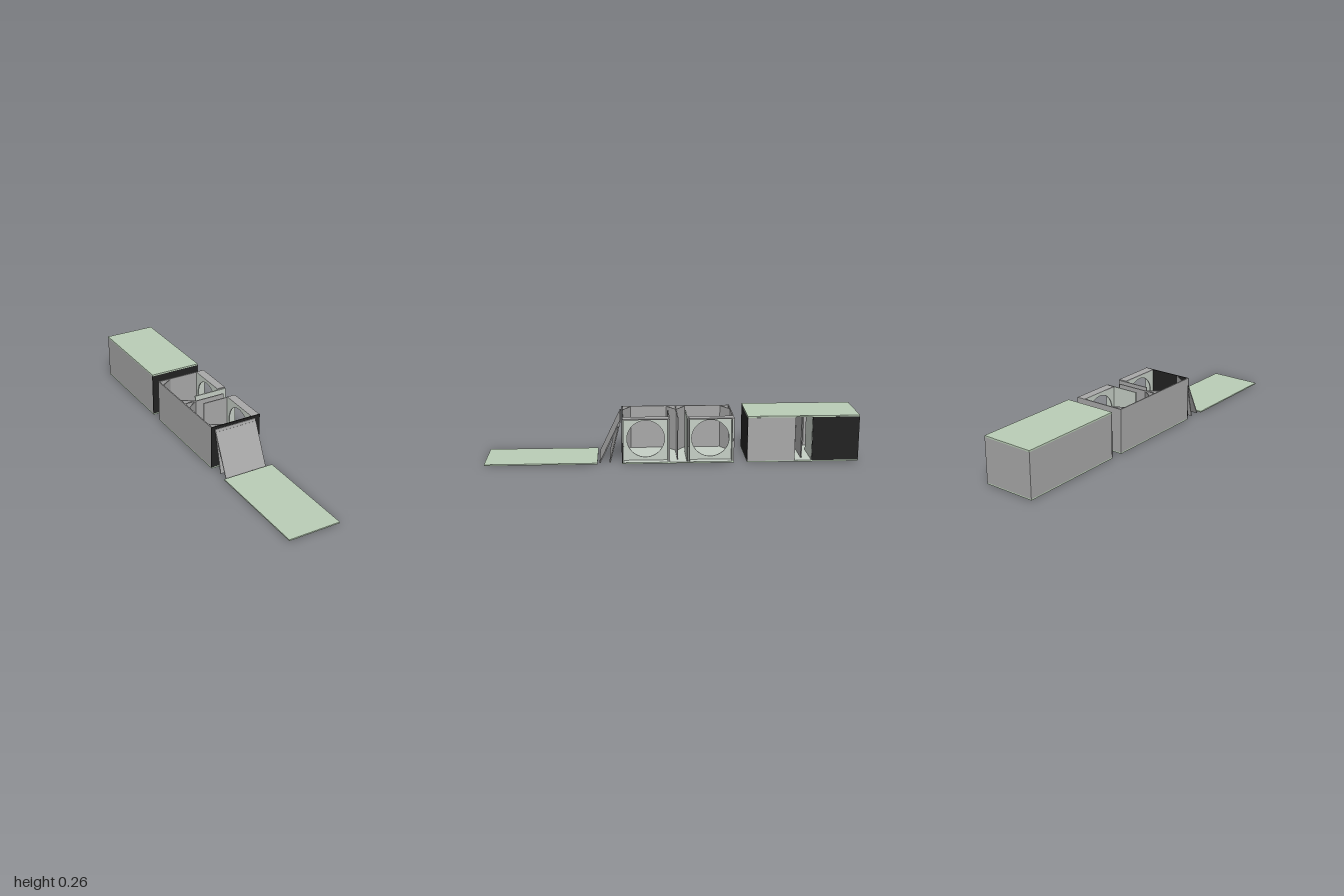
import * as THREE from 'three';

const material = (name, color) => {
  const m = new THREE.MeshStandardMaterial({ color });
  m.name = name;
  return m;
};

export function createModel() {
  const model = new THREE.Group();
  const green = material('sage green', 0xbacdb6);
  const pale = material('pale grey green', 0xc6cfc6);
  const grey = material('mid grey', 0xa8a8a8);
  const black = material('near black', 0x222222);
  const XL = -0.146, XR = 0.145, FLOOR = 0.01, TOP = 0.249, T = 0.006;

  // Box given by its limits
  const slab = (parent, name, mat, x0, x1, y0, y1, z0, z1) => {
    const mesh = new THREE.Mesh(new THREE.BoxGeometry(x1 - x0, y1 - y0, z1 - z0), mat);
    mesh.position.set((x0 + x1) / 2, (y0 + y1) / 2, (z0 + z1) / 2);
    mesh.name = name;
    parent.add(mesh);
    return mesh;
  };

  // Upright thin board between two plan points
  const board = (parent, name, mat, xa, za, xb, zb) => {
    const len = Math.hypot(xb - xa, zb - za);
    const mesh = new THREE.Mesh(new THREE.BoxGeometry(len, TOP - FLOOR - 0.003, 0.004), mat);
    mesh.position.set((xa + xb) / 2, (FLOOR + TOP - 0.003) / 2, (za + zb) / 2);
    mesh.rotation.y = -Math.atan2(zb - za, xb - xa);
    mesh.name = name;
    parent.add(mesh);
  };

  // Shell and inner boards shared by both cabinets
  const cabinet = (name, zFront) => {
    const g = new THREE.Group();
    g.name = name;
    const zBack = zFront - 0.6, mid = (zFront + zBack) / 2;
    const base = slab(g, 'basePanel', green, XL, XR, 0.003, FLOOR, zBack, zFront);
    base.material = [green, green, pale, green, green, green];
    slab(g, 'sideWall', grey, XL, XL + T, FLOOR, TOP, zBack, zFront - T);
    slab(g, 'frontWall', black, XL, XR, FLOOR, TOP, zFront - T, zFront);
    slab(g, 'backWall', grey, XL + T, XR, FLOOR, TOP, zBack, zBack + T);
    slab(g, 'partition', grey, XL + T, 0.1, FLOOR, TOP - 0.003, mid - 0.003, mid + 0.003);
    slab(g, 'frontPortBoard', grey, -0.05, XR - 0.003, FLOOR, TOP - 0.003, mid + 0.043, mid + 0.049);
    slab(g, 'backPortBoard', pale, -0.05, XR - 0.003, FLOOR, TOP - 0.003, mid - 0.053, mid - 0.047);
    // Diagonal corner braces
    for (const s of [-1, 1]) {
      board(g, 'middleBrace', grey, XL + T, mid + s * 0.05, -0.075, mid + s * 0.002);
      board(g, 'cornerBrace', grey, XL + T, mid + s * 0.25, -0.075, mid + s * 0.294);
    }
    model.add(g);
    return g;
  };

  // Open cabinet with two recessed round-holed baffles
  const open = cabinet('openCabinet', 0.27);
  for (const [z0, z1] of [[0.019, 0.264], [-0.324, -0.088]]) {
    const w = z1 - z0, h = TOP - FLOOR;
    const shape = new THREE.Shape();
    shape.moveTo(-w / 2, -h / 2);
    shape.lineTo(w / 2, -h / 2);
    shape.lineTo(w / 2, h / 2);
    shape.lineTo(-w / 2, h / 2);
    shape.closePath();
    shape.holes.push(new THREE.Path().absarc(0, 0, 0.101, 0, Math.PI * 2, true));
    const geo = new THREE.ExtrudeGeometry(shape, { depth: 0.006, bevelEnabled: false, curveSegments: 24 });
    const baffle = new THREE.Mesh(geo, pale);
    baffle.rotation.y = Math.PI / 2;
    baffle.position.set(0.095, (FLOOR + TOP) / 2 - 0.001, (z0 + z1) / 2);
    baffle.name = 'baffle';
    open.add(baffle);
    // Rim around the recess
    slab(open, 'rimTop', grey, 0.095, XR - 0.002, TOP - 0.006, TOP, z0, z1);
    for (const z of [z0, z1 - 0.005])
      slab(open, 'rimSide', pale, 0.1, XR - 0.002, FLOOR, TOP - 0.006, z, z + 0.005);
  }

  // Closed cabinet with lid and two side covers
  const closed = cabinet('closedCabinet', -0.4);
  slab(closed, 'lid', green, XL, XR, TOP, 0.257, -1, -0.4);
  slab(closed, 'frontCover', grey, XR - T, XR + 0.001, FLOOR, TOP, -0.653, -0.401);
  slab(closed, 'backCover', black, XR - T, XR + 0.001, FLOOR, TOP, -0.999, -0.749);

  // Loose lid lying in front
  slab(model, 'looseLid', green, XL, XR, 0.003, FLOOR, 0.4, 1);

  // Two covers leaning on the open cabinet: foot z, top z, top y
  for (const [zf, zt, yt] of [[0.387, 0.281, 0.222], [0.333, 0.275, 0.236]]) {
    const len = Math.hypot(zf - zt, yt);
    const cover = new THREE.Mesh(new THREE.BoxGeometry(0.242, len, 0.006), grey);
    cover.position.set(-0.008, yt / 2 + 0.001, (zf + zt) / 2);
    cover.rotation.x = -Math.atan2(zf - zt, yt);
    cover.name = 'leaningCover';
    model.add(cover);
  }
  return model;
}
